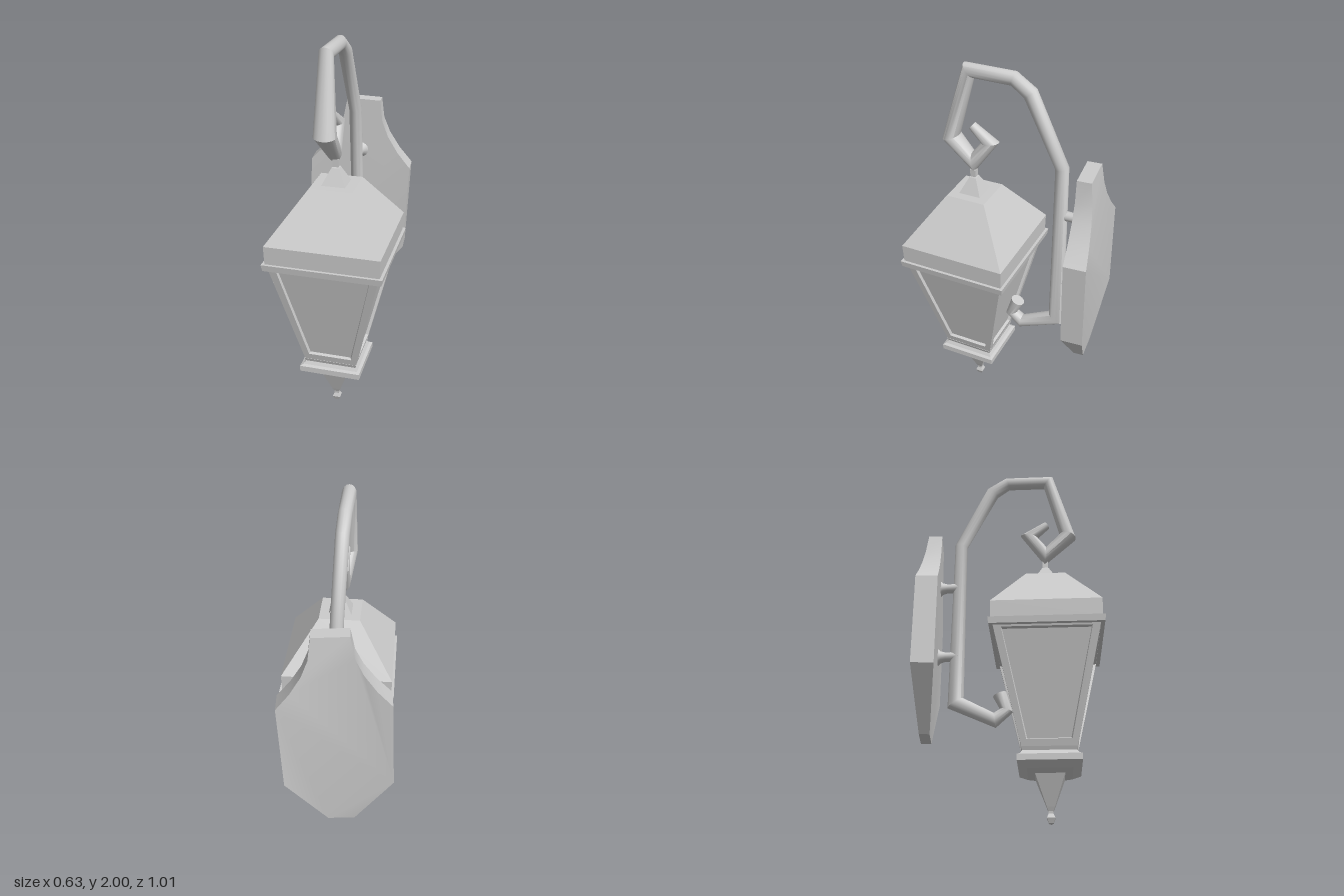
import * as THREE from 'three';
import { toCreasedNormals } from 'three/addons/utils/BufferGeometryUtils.js';

const material = new THREE.MeshStandardMaterial({ color: 0xcccccc, side: THREE.DoubleSide });

function addMesh(parent, name, geometry) {
  const mesh = new THREE.Mesh(geometry, material);
  mesh.name = name;
  parent.add(mesh);
  return mesh;
}

// Triangles with flat normals from a list of quads (corners counter-clockwise)
function quadGeometry(quads) {
  const g = new THREE.BufferGeometry();
  g.setFromPoints(quads.flatMap(([a, b, c, d]) => [a, b, c, a, c, d]));
  g.computeVertexNormals();
  return g;
}

// Square stack: profile of [half width, y], bottom to top
function squareStack(profile) {
  const pts = profile.map(([r, y]) => new THREE.Vector2(r * Math.SQRT2, y));
  const g = new THREE.LatheGeometry(pts, 4).rotateY(Math.PI / 4).toNonIndexed();
  g.scale(1, 1, 0.975);
  g.computeVertexNormals();
  return g;
}

// One tapered lantern side: frame, bevelled reveal and recessed pane
function lanternSide() {
  const slope = (y) => 0.14 + (y - 0.35) * 0.232;
  const ring = (y0, w0, y1, w1, depth) =>
    [[-w0, y0], [w0, y0], [w1, y1], [-w1, y1]].map(([x, y]) => new THREE.Vector3(x, y, slope(y) - depth));
  const rings = [
    ring(0.35, 0.14, 0.945, 0.278, 0),
    ring(0.385, 0.115, 0.93, 0.235, 0),
    ring(0.392, 0.11, 0.925, 0.23, 0.016),
  ];
  const quads = [rings[2]];
  for (let i = 0; i < 2; i++) {
    for (let k = 0; k < 4; k++) {
      const n = (k + 1) % 4;
      quads.push([rings[i][k], rings[i][n], rings[i + 1][n], rings[i + 1][k]]);
    }
  }
  return quadGeometry(quads);
}

// Mitred tube bent in the y-z plane; each station is [x, y, z, in-plane radius, x radius]
function bentTube(stations, sides = 16) {
  const centers = stations.map(([x, y, z]) => new THREE.Vector3(x, y, z));
  const last = centers.length - 1;
  const direction = (i) => centers[i + 1].clone().sub(centers[i]).normalize();
  const rings = stations.map(([, , , a, b], i) => {
    const t = direction(Math.min(i, last - 1)).add(direction(Math.max(i - 1, 0)));
    const n = new THREE.Vector3(0, -t.z, t.y).normalize();
    return Array.from({ length: sides }, (_, k) => {
      const angle = (k / sides) * Math.PI * 2;
      const p = centers[i].clone().addScaledVector(n, Math.cos(angle) * a);
      p.x += Math.sin(angle) * b;
      return p;
    });
  });
  const quads = [];
  for (let k = 0; k < sides; k++) {
    const n = (k + 1) % sides;
    for (let i = 0; i < last; i++) {
      quads.push([rings[i][n], rings[i][k], rings[i + 1][k], rings[i + 1][n]].reverse());
    }
    quads.push([rings[0][n], rings[0][k], centers[0], centers[0]].reverse());
    quads.push([rings[last][k], rings[last][n], centers[last], centers[last]].reverse());
  }
  return toCreasedNormals(quadGeometry(quads), 0.7);
}

export function createModel() {
  const model = new THREE.Group();
  model.name = 'wallLantern';

  // Lantern
  const lantern = new THREE.Group();
  lantern.name = 'lantern';
  lantern.position.set(0.004, 0, 0.207);
  model.add(lantern);

  addMesh(lantern, 'finial', squareStack([
    [0, 0], [0.012, 0.008], [0.021, 0.032], [0.012, 0.052], [0.013, 0.065],
    [0.021, 0.085], [0.075, 0.235],
  ]));
  addMesh(lantern, 'base', squareStack([
    [0.075, 0.235], [0.115, 0.25], [0.162, 0.277], [0.162, 0.308], [0.147, 0.315],
    [0.136, 0.332], [0.142, 0.35], [0, 0.35],
  ]));
  const body = new THREE.Group();
  body.name = 'lanternBody';
  body.scale.z = 0.975;
  lantern.add(body);
  const side = lanternSide();
  for (let i = 0; i < 4; i++) addMesh(body, 'framedPane', side).rotation.y = (i * Math.PI) / 2;
  addMesh(lantern, 'rim', squareStack([
    [0, 0.94], [0.298, 0.94], [0.303, 0.974], [0.285, 0.974],
  ]));
  addMesh(lantern, 'roof', squareStack([
    [0.288, 0.974], [0.291, 1.07], [0.108, 1.323], [0, 1.323],
  ]));
  addMesh(lantern, 'roofCap', squareStack([
    [0.06, 1.323], [0.019, 1.405], [0.015, 1.41], [0.015, 1.45], [0, 1.45],
  ]));

  // Bracket: lower hook, post, arch and upper curl
  addMesh(model, 'bracket', bentTube([
    [0.012, 0.675, -0.045, 0.037, 0.035],
    [0.012, 0.585, -0.01, 0.034, 0.035],
    [0.012, 0.535, -0.07, 0.04, 0.035],
    [0.008, 0.63, -0.273, 0.049, 0.034],
    [-0.018, 1.555, -0.262, 0.035, 0.033],
    [-0.028, 1.905, -0.087, 0.04, 0.034],
    [-0.032, 1.963, 0, 0.037, 0.034],
    [-0.032, 1.963, 0.236, 0.043, 0.036],
    [-0.014, 1.603, 0.337, 0.046, 0.058],
    [-0.006, 1.487, 0.21, 0.055, 0.04],
    [-0.012, 1.61, 0.12, 0.048, 0.035],
    [-0.018, 1.68, 0.22, 0.022, 0.024],
  ]));

  // Back plate: symmetric outline, thinner towards its top and bottom
  const half = [
    [0.09, 1.58], [0.108, 1.465], [0.145, 1.38], [0.205, 1.29],
    [0.278, 1.207], [0.278, 0.712], [0.07, 0.42],
  ].map(([x, y]) => new THREE.Vector2(x, y - 0.96));
  const mirrored = half.map((p) => new THREE.Vector2(-p.x, p.y)).reverse();
  const plate = new THREE.ExtrudeGeometry(new THREE.Shape([...half, ...mirrored]), {
    depth: 0.115, bevelEnabled: false,
  });
  plate.translate(0, 0, -0.115);
  const pos = plate.attributes.position;
  for (let i = 0; i < pos.count; i++) {
    const y = pos.getY(i);
    const end = Math.max(0, (y - 0.247) / 0.373, (-0.248 - y) / 0.292);
    if (pos.getZ(i) < -0.05) pos.setZ(i, -0.115 + 0.042 * end);
    else if (y < 0) pos.setZ(i, -0.02 * end);
  }
  const backPlate = addMesh(model, 'backPlate', toCreasedNormals(plate, 0.45));
  backPlate.position.set(-0.026, 0.96, -0.368);
  backPlate.rotation.set(0, 0.08, -0.045);

  // Flared mounts joining post and plate
  const mountProfile = [[0.045, 0], [0.032, 0.015], [0.025, 0.04], [0.027, 0.11]]
    .map(([r, y]) => new THREE.Vector2(r, y));
  const mount = new THREE.LatheGeometry(mountProfile, 16).rotateX(Math.PI / 2);
  for (const [x, y] of [[-0.016, 1.29], [-0.006, 0.885]]) {
    addMesh(model, 'mount', mount).position.set(x, y, -0.372);
  }
  return model;
}
